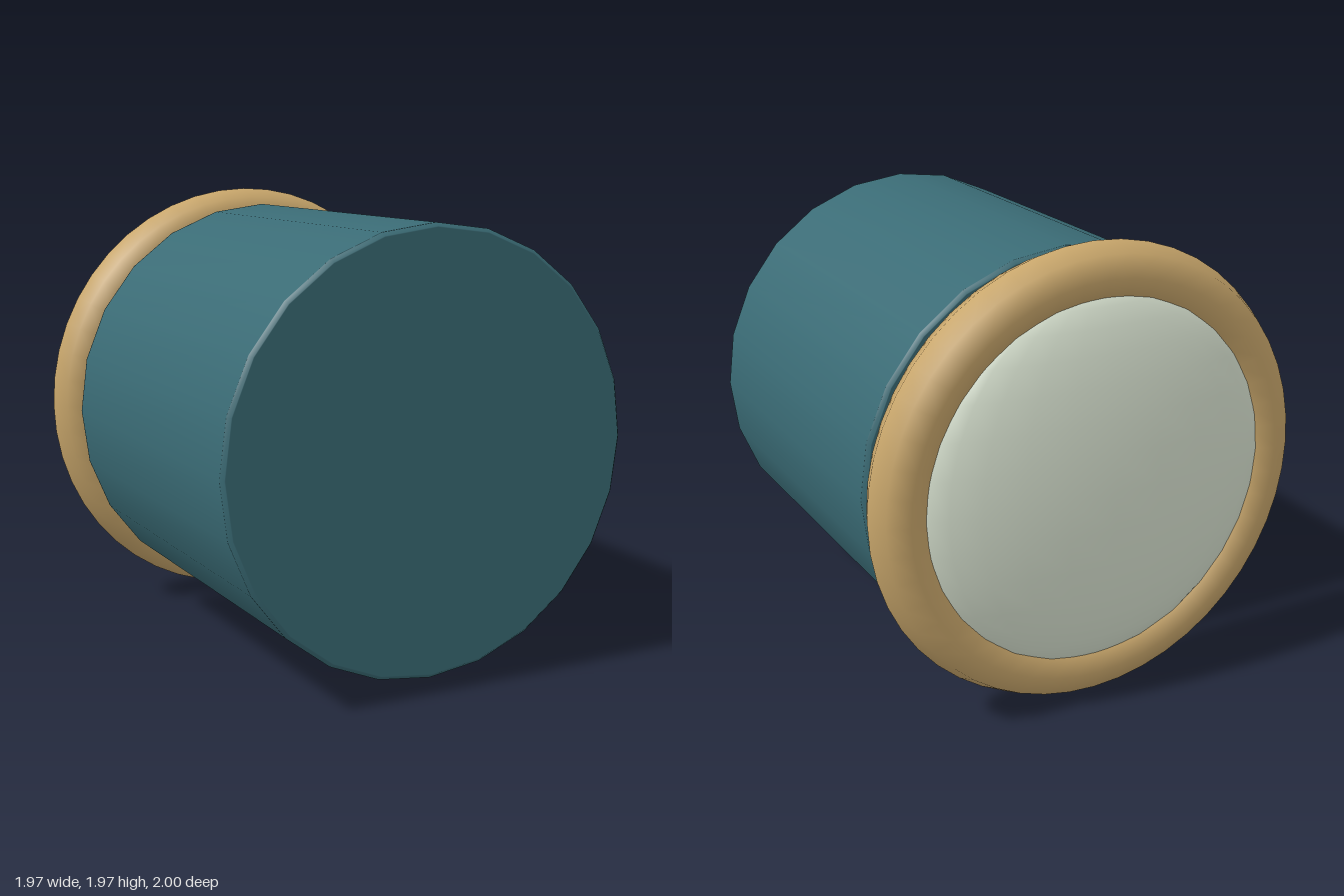
import * as THREE from 'three';

const CENTER_Y = 0.985;

export function createModel() {
  const group = new THREE.Group();
  const teal = new THREE.MeshStandardMaterial({ color: 0x3a6b75 });
  teal.name = 'teal';
  const brass = new THREE.MeshStandardMaterial({ color: 0xc8a66b });
  brass.name = 'brass';
  const paleGlass = new THREE.MeshStandardMaterial({ color: 0xd8e2d0 });
  paleGlass.name = 'paleGlass';

  function add(name, geometry, material, z) {
    const mesh = new THREE.Mesh(geometry, material);
    mesh.name = name;
    mesh.position.set(0, CENTER_Y, z);
    group.add(mesh);
    return mesh;
  }

  // Barrel: 24-sided drum with a small bevel; support rings keep caps and wall flat
  const r = 0.917, h = 0.793, b = 0.014, s = 0.004;
  const half = [[0, h], [r - b - s, h], [r - b, h], [r, h - b], [r, h - b - s]];
  const profile = [
    ...half.map(([x, y]) => new THREE.Vector2(x, -y)),
    ...half.slice().reverse().map(([x, y]) => new THREE.Vector2(x, y)),
  ];
  const barrel = new THREE.LatheGeometry(profile, 24);
  barrel.rotateX(Math.PI / 2);
  add('barrel', barrel, teal, 0.207);

  // Rim ring floating just behind the barrel
  add('rimRing', new THREE.TorusGeometry(0.856, 0.127, 8, 48), brass, -0.78);

  // Shallow lens bulging out of the ring
  const lens = add('lens', new THREE.SphereGeometry(1, 24, 16), paleGlass, -0.83);
  lens.scale.set(0.81, 0.81, 0.17);

  return group;
}
